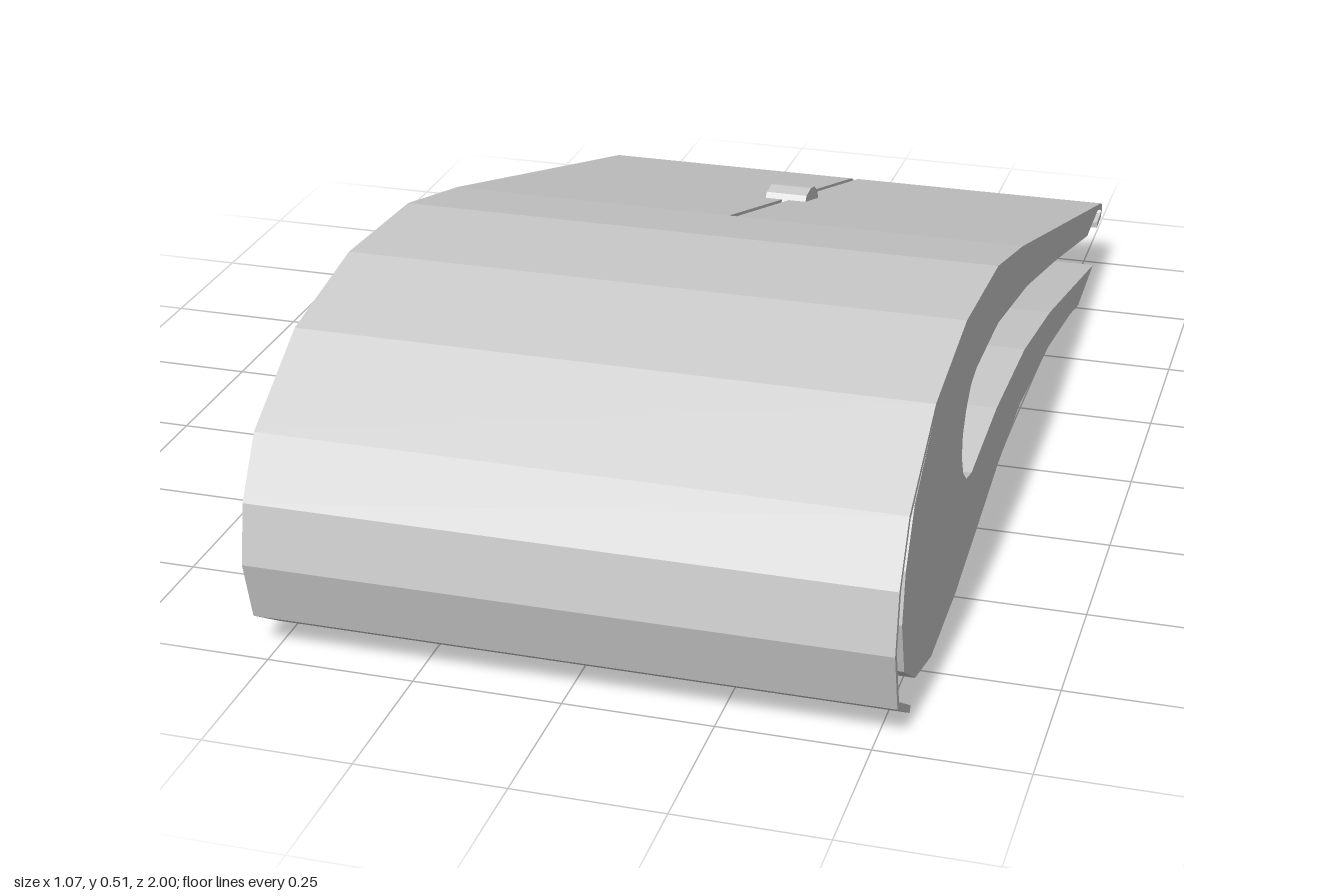
import * as THREE from 'three';

const HALF = 0.533;   // half of the span along x
const SKIN = 0.012;   // sheet thickness
const SLOT = 0.007;   // half width of the slot in the rear sheet

const mat = new THREE.MeshStandardMaterial({ color: 0xcccccc });

// Extrudes a closed [z, y] profile between two x positions
function extrudeProfile(name, points, x0, x1) {
  const shape = new THREE.Shape(points.map(([z, y]) => new THREE.Vector2(z, y)));
  const geo = new THREE.ExtrudeGeometry(shape, { depth: x1 - x0, bevelEnabled: false });
  geo.rotateY(-Math.PI / 2);
  geo.translate(x1, 0, 0);
  const mesh = new THREE.Mesh(geo, mat);
  mesh.name = name;
  return mesh;
}

// Offsets an open path to its left by t, with mitred corners
function offsetPath(path, t) {
  return path.map((p, i) => {
    const normals = [];
    for (const [a, b] of [[i - 1, i], [i, i + 1]]) {
      if (a < 0 || b >= path.length) continue;
      const dz = path[b][0] - path[a][0], dy = path[b][1] - path[a][1];
      const len = Math.hypot(dz, dy);
      normals.push([-dy / len, dz / len]);
    }
    const n = normals[0], m = normals[normals.length - 1];
    const k = t / (1 + n[0] * m[0] + n[1] * m[1]);
    return [p[0] + (n[0] + m[0]) * k, p[1] + (n[1] + m[1]) * k];
  });
}

const strip = (path) => [...path, ...offsetPath(path, SKIN).reverse()];

export function createModel() {
  const model = new THREE.Group();
  model.name = 'curvedClip';

  // Outer face of the sheet: front lip, over the crown, to the middle
  const frontPath = [
    [0.88, 0.002], [0.973, 0.063], [1.0, 0.17], [0.981, 0.272], [0.922, 0.37],
    [0.745, 0.475], [0.51, 0.515], [0.24, 0.5], [0, 0.44],
  ];
  // From the middle down to the hooked rear edge
  const rearPath = [
    [0, 0.44], [-0.975, 0.148], [-0.995, 0.138], [-1.0, 0.125], [-0.985, 0.112], [-0.935, 0.108],
  ];

  // Forked core: crown, upper arm, rounded opening, lower arm, nose
  const crown = offsetPath([...frontPath.slice(5), rearPath[1]], SKIN);
  const core = [
    ...crown.slice(0, 4),
    [-0.955, 0.142], [-0.93, 0.148], [-0.8, 0.143],
    [-0.4, 0.252], [-0.07, 0.335], [0.22, 0.386], [0.41, 0.386],
    [0.455, 0.375], [0.49, 0.345], [0.511, 0.31], [0.513, 0.27], [0.495, 0.232],
    [0.465, 0.208], [0.42, 0.197],
    [0.2, 0.215], [-0.07, 0.208], [-0.35, 0.163], [-0.905, 0.035],
    [-0.72, 0.021], [-0.62, 0.045], [-0.35, 0.09], [-0.05, 0.11], [0.16, 0.09],
    [0.37, 0.052], [0.53, 0.025], [0.72, 0.013], [0.845, 0.045],
    [0.93, 0.105], [0.955, 0.2], [0.938, 0.285], [0.885, 0.372],
  ];
  model.add(extrudeProfile('forkedCore', core, -HALF, HALF));

  // Sheet covering: whole at the front, split by a slot at the rear
  model.add(extrudeProfile('frontSheet', strip(frontPath), -HALF, HALF));
  model.add(extrudeProfile('rearSheetLeft', strip(rearPath), SLOT, HALF));
  model.add(extrudeProfile('rearSheetRight', strip(rearPath), -HALF, -SLOT));

  // Small domed slider sitting across the slot
  const slider = [
    [-0.375, 0.318], [-0.39, 0.335], [-0.425, 0.338], [-0.455, 0.33],
    [-0.478, 0.312], [-0.485, 0.292], [-0.38, 0.315],
  ];
  model.add(extrudeProfile('slider', slider, -0.04, 0.04));

  return model;
}
